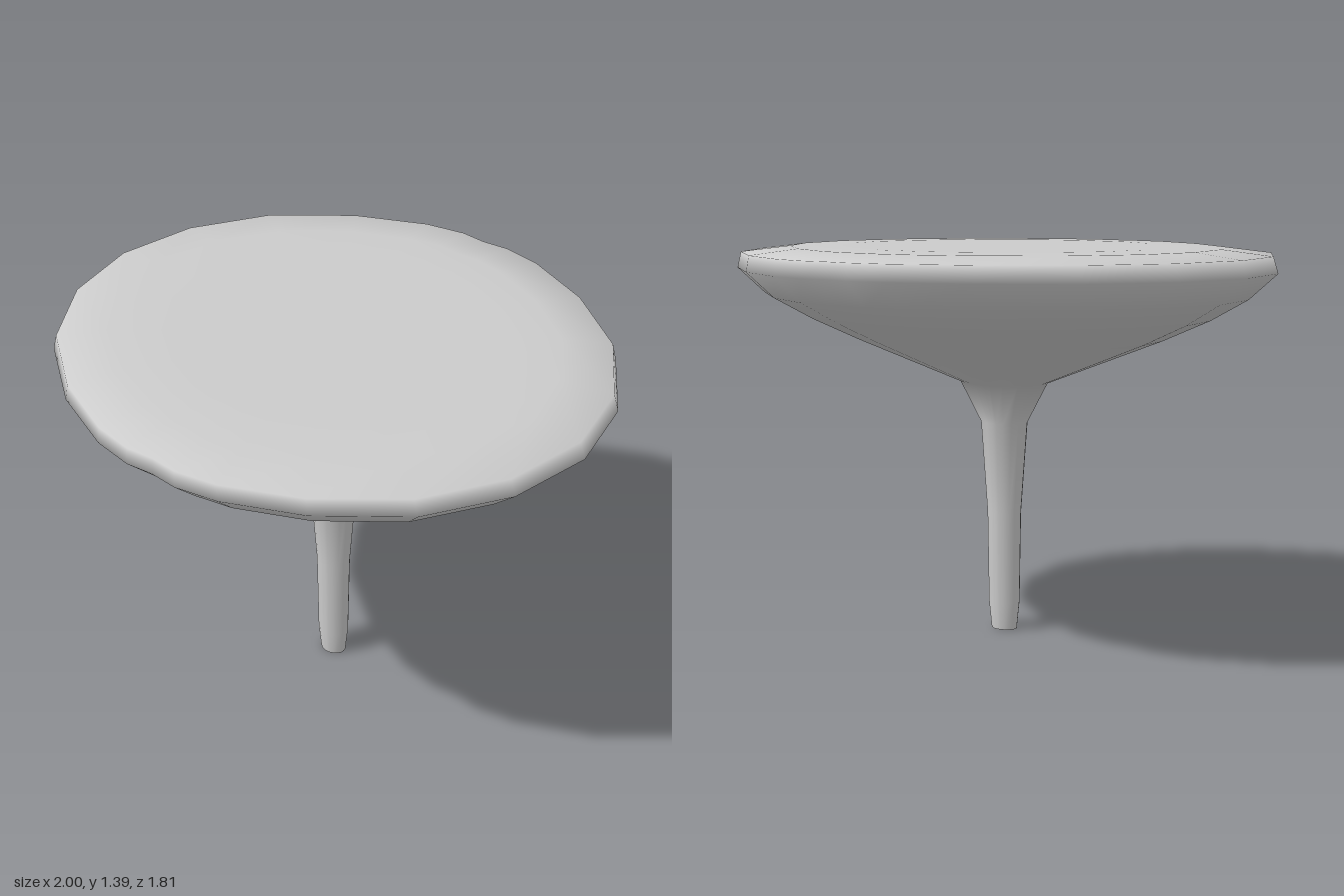
import * as THREE from 'three';

// Quarter of the rim outline, from the side (+x) to the front (+z), in unit scale
const QUARTER = [[1, 0], [0.94, 0.33], [0.77, 0.625], [0.51, 0.845], [0.25, 0.97], [0.10, 1], [0, 0.99]];

// Cross-sections from foot to top: height, half width, half depth
const SECTIONS = [
  [0, 0.05, 0.04], [0.1, 0.06, 0.05], [0.43, 0.065, 0.055], [0.76, 0.09, 0.075],
  [0.905, 0.17, 0.14], [1.07, 0.6, 0.51], [1.145, 0.77, 0.67], [1.22, 0.9, 0.81],
  [1.31, 1, 0.905], [1.367, 0.98, 0.9], [1.388, 0.8, 0.73], [1.39, 0.6, 0.55],
];

// Mirror the quarter into a closed 24-point loop
function fullOutline() {
  const half = [...QUARTER, ...QUARTER.slice(0, -1).reverse().map(([x, z]) => [-x, z])];
  return [...half, ...half.slice(1, -1).reverse().map(([x, z]) => [x, -z])];
}

// Skin the sections; the cap at the last section is smooth
function loft(sections, outline) {
  const n = outline.length, positions = [], index = [];
  for (const [y, w, d] of sections) {
    for (const [x, z] of outline) positions.push(x * w, y, z * d);
  }
  const last = sections.length - 1;
  positions.push(0, sections[last][0], 0);
  for (let j = 0; j < n; j++) {
    const k = (j + 1) % n;
    for (let i = 0; i < last; i++) {
      const a = i * n + j, b = i * n + k;
      index.push(a, a + n, b, b, a + n, b + n);
    }
    index.push(last * n + j, (last + 1) * n, last * n + k);
  }
  const geometry = new THREE.BufferGeometry();
  geometry.setAttribute('position', new THREE.Float32BufferAttribute(positions, 3));
  geometry.setIndex(index);
  geometry.computeVertexNormals();
  return geometry;
}

export function createModel() {
  const group = new THREE.Group();
  group.name = 'flaredPedestal';
  const material = new THREE.MeshStandardMaterial({ color: 0xcccccc });
  const outline = fullOutline();

  // Stem flaring into the broad top
  const body = new THREE.Mesh(loft(SECTIONS, outline), material);
  body.name = 'stemAndTop';
  group.add(body);

  // Flat underside of the stem
  const [, w, d] = SECTIONS[0];
  const shape = new THREE.Shape(outline.map(([x, z]) => new THREE.Vector2(x * w, z * d)));
  const foot = new THREE.Mesh(new THREE.ShapeGeometry(shape).rotateX(Math.PI / 2), material);
  foot.name = 'footCap';
  group.add(foot);

  return group;
}
